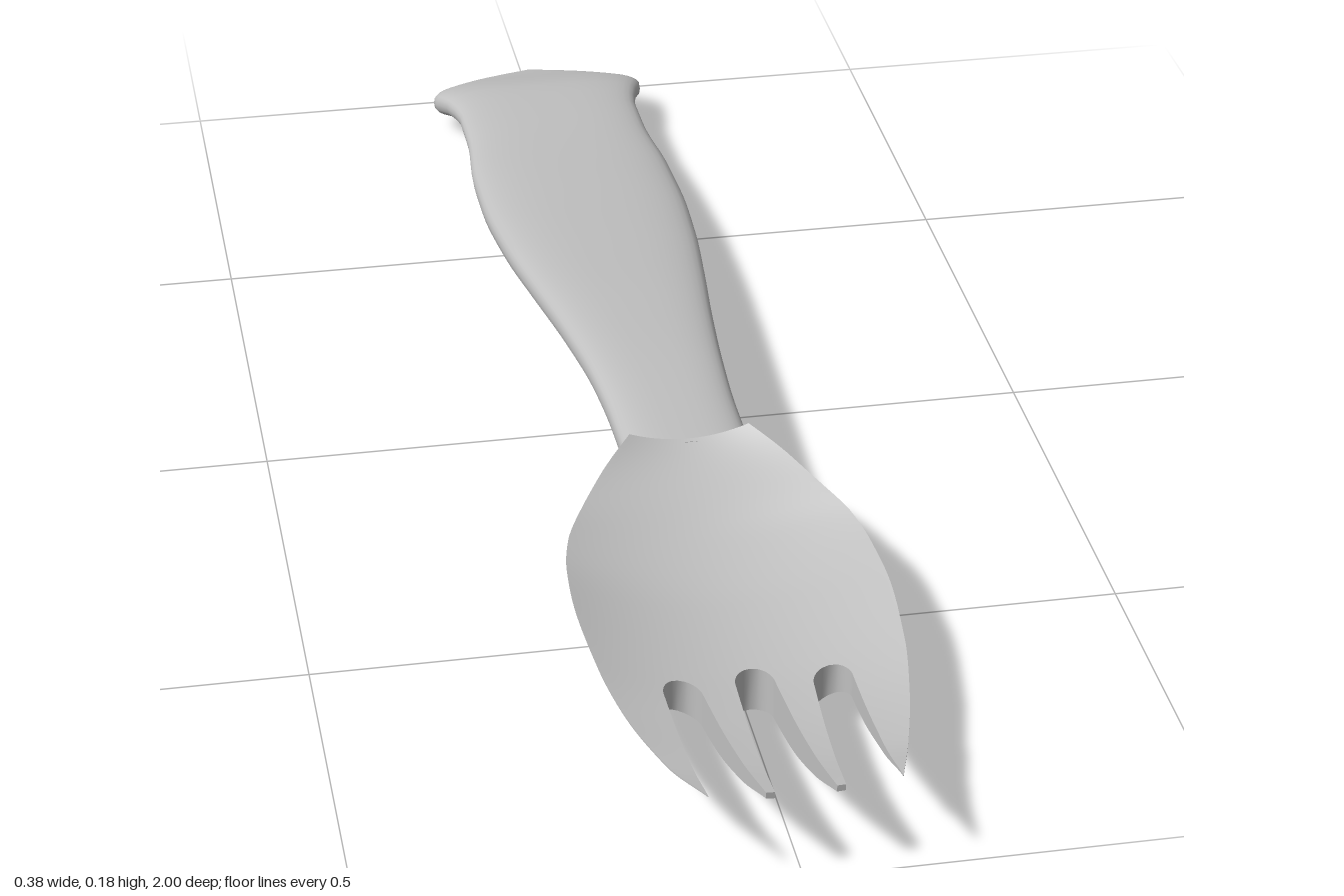
import * as THREE from 'three';
import { toCreasedNormals } from 'three/addons/utils/BufferGeometryUtils.js';

// Smooth monotone curve through [z, value] pairs
function curve(pts) {
  const n = pts.length;
  const slope = (i) => (pts[i + 1][1] - pts[i][1]) / (pts[i + 1][0] - pts[i][0]);
  const tangent = (i) => {
    if (i === 0) return slope(0);
    if (i === n - 1) return slope(n - 2);
    const a = slope(i - 1), b = slope(i);
    return a * b <= 0 ? 0 : (2 * a * b) / (a + b);
  };
  return (z) => {
    let i = 0;
    while (i < n - 2 && z > pts[i + 1][0]) i++;
    const h = pts[i + 1][0] - pts[i][0];
    const t = Math.min(1, Math.max(0, (z - pts[i][0]) / h));
    const t2 = t * t, t3 = t2 * t;
    return (2 * t3 - 3 * t2 + 1) * pts[i][1] + (t3 - 2 * t2 + t) * h * tangent(i)
      + (3 * t2 - 2 * t3) * pts[i + 1][1] + (t3 - t2) * h * tangent(i + 1);
  };
}

function quad(out, a, b, c, d) {
  const same = (p, q) => Math.hypot(p[0] - q[0], p[1] - q[1], p[2] - q[2]) < 1e-6;
  for (const [p, q, r] of [[a, b, c], [a, c, d]]) {
    if (!same(p, q) && !same(q, r) && !same(p, r)) out.push(...p, ...q, ...r);
  }
}

// Joins rings (upper side left to right, then lower side right to left) and caps both ends
function loft(out, rings, skip = () => false) {
  const n = rings[0].length;
  for (let r = 0; r < rings.length - 1; r++) {
    for (let i = 0; i < n; i++) {
      if (skip(r, i)) continue;
      const j = (i + 1) % n;
      quad(out, rings[r][i], rings[r + 1][i], rings[r + 1][j], rings[r][j]);
    }
  }
  const first = rings[0], last = rings[rings.length - 1];
  for (let i = 0; i < n / 2 - 1; i++) {
    quad(out, last[i], last[n - 1 - i], last[n - 2 - i], last[i + 1]);
    quad(out, first[i], first[i + 1], first[n - 2 - i], first[n - 1 - i]);
  }
}

function toMesh(name, positions, crease, material) {
  const raw = new THREE.BufferGeometry();
  raw.setAttribute('position', new THREE.Float32BufferAttribute(positions, 3));
  raw.scale(100, 100, 100); // enlarged so that close vertices stay distinct when creasing
  const geometry = toCreasedNormals(raw, crease);
  geometry.scale(0.01, 0.01, 0.01);
  const mesh = new THREE.Mesh(geometry, material);
  mesh.name = name;
  return mesh;
}

// Lens-shaped bowl that divides into four tines
function makeHead(material) {
  const half = curve([[0.305, 0.075], [0.35, 0.117], [0.4, 0.152], [0.45, 0.176], [0.5, 0.186],
    [0.58, 0.19], [0.7, 0.182], [0.8, 0.165], [0.9, 0.14], [1, 0.11]]);
  const rim = curve([[0.305, 0.176], [0.4, 0.133], [0.5, 0.116], [0.6, 0.113], [0.7, 0.106],
    [0.8, 0.099], [0.9, 0.104], [1, 0.127]]);
  const upper = curve([[0.305, 0.162], [0.36, 0.135], [0.44, 0.095], [0.55, 0.076], [0.69, 0.075],
    [0.8, 0.081], [0.9, 0.096], [1, 0.122]]);
  const lower = curve([[0.305, 0.1], [0.36, 0.06], [0.43, 0.018], [0.52, 0], [0.6, 0.005],
    [0.69, 0.017], [0.8, 0.034], [0.9, 0.066], [1, 0.113]]);

  // Slot centre and half width; the half width is zero behind the slot's round end
  const slot = (k, z) => {
    const start = k === 0 ? 0.69 : 0.71;
    const t = Math.max(0, (z - start) / (1 - start));
    const u = Math.min(1, Math.max(0, z - start) / 0.03);
    const round = Math.sqrt(Math.max(0, 1 - (1 - u) ** 2));
    const centre = z < start ? 0.09 * half(z) / half(start) : 0.09 - 0.0125 * t;
    return { centre: k * centre, width: round * (0.022 + (k === 0 ? 0.013 : 0.0105) * t) };
  };

  const rows = [];
  for (let i = 0; i < 28; i++) rows.push(0.305 + 0.385 * i / 28);
  for (let i = 0; i < 25; i++) rows.push(0.69 + 0.002 * i);
  for (let i = 0; i <= 18; i++) rows.push(0.74 + 0.26 * i / 18);

  const out = [], steps = 8;
  for (let s = 0; s < 4; s++) {
    const leftSlot = s > 0 ? s - 2 : null, rightSlot = s < 3 ? s - 1 : null;
    const rings = rows.map((z) => {
      const h = half(z);
      const a = leftSlot === null ? -h : slot(leftSlot, z).centre + slot(leftSlot, z).width;
      const b = rightSlot === null ? h : slot(rightSlot, z).centre - slot(rightSlot, z).width;
      const top = [], bottom = [];
      for (let i = 0; i <= steps; i++) {
        const x = a + (b - a) * i / steps, q = (x / h) ** 2;
        top.push([x, upper(z) + (rim(z) - upper(z)) * q, z]);
        bottom.unshift([x, lower(z) + (rim(z) - 0.002 - lower(z)) * q, z]);
      }
      return [...top, ...bottom];
    });
    // No walls where neighbouring strips still join
    const joined = (k, r) => k !== null && slot(k, rows[r + 1]).width === 0;
    loft(out, rings, (r, i) => (i === steps && joined(rightSlot, r))
      || (i === 2 * steps + 1 && joined(leftSlot, r)));
  }
  return toMesh('bowlAndTines', out, 0.5, material);
}

// Flattened, softly waisted handle with a flared, pointed end
function makeHandle(material) {
  const half = curve([[-1, 0.004], [-0.985, 0.055], [-0.96, 0.113], [-0.917, 0.156], [-0.87, 0.143],
    [-0.81, 0.131], [-0.74, 0.131], [-0.6, 0.141], [-0.5, 0.142], [-0.35, 0.134], [-0.2, 0.118],
    [-0.05, 0.1], [0.1, 0.086], [0.2, 0.081], [0.31, 0.08]]);
  const upper = curve([[-1, 0.043], [-0.96, 0.055], [-0.91, 0.071], [-0.87, 0.08], [-0.8, 0.083],
    [-0.7, 0.086], [-0.5, 0.101], [-0.3, 0.121], [-0.1, 0.142], [0.1, 0.156], [0.31, 0.16]]);
  const lower = curve([[-1, 0.032], [-0.95, 0.015], [-0.915, 0.013], [-0.87, 0.028], [-0.8, 0.039],
    [-0.6, 0.038], [-0.4, 0.052], [-0.2, 0.075], [0, 0.097], [0.12, 0.106], [0.31, 0.106]]);

  const rows = [-1, -0.993, -0.985, -0.972, -0.96, -0.945, -0.93, -0.917, -0.905, -0.89, -0.87];
  for (let i = 1; i <= 40; i++) rows.push(-0.87 + 1.18 * i / 40);
  const steps = 20;
  const bend = (v) => Math.sign(v) * Math.abs(v) ** 0.68;
  const rings = rows.map((z) => {
    const mid = (upper(z) + lower(z)) / 2, thick = (upper(z) - lower(z)) / 2;
    const top = [], bottom = [];
    for (let i = 0; i <= steps; i++) {
      const angle = Math.PI * i / steps;
      const x = i === steps / 2 ? 0 : -half(z) * bend(Math.cos(angle));
      const y = i % steps === 0 ? 0 : thick * bend(Math.sin(angle));
      top.push([x, mid + y, z]);
      bottom.unshift([x, mid - y, z]);
    }
    return [...top, ...bottom];
  });
  const out = [];
  loft(out, rings);
  return toMesh('handle', out, 0.9, material);
}

export function createModel() {
  const metal = new THREE.MeshStandardMaterial({ color: 0xc0c0c0 });
  metal.name = 'silver grey';
  const group = new THREE.Group();
  group.name = 'fork';
  group.add(makeHead(metal), makeHandle(metal));
  return group;
}
